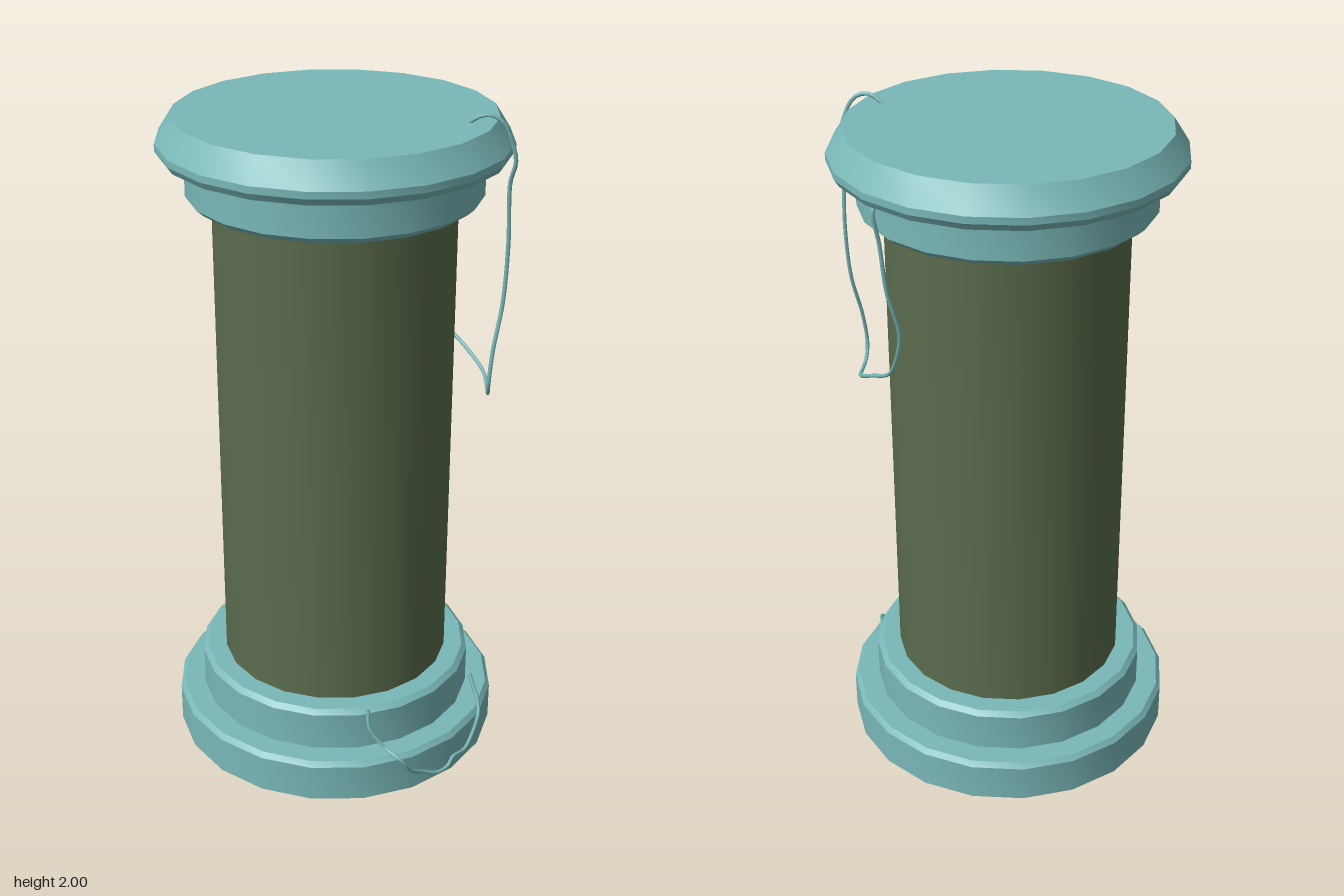
import * as THREE from 'three';
import { toCreasedNormals } from 'three/addons/utils/BufferGeometryUtils.js';

const SIDES = 20;
const CENTRE_Z = -0.007;

export function createModel() {
  const group = new THREE.Group();
  const stone = new THREE.MeshStandardMaterial({ color: 0x7ab8b8 });
  const shaftMaterial = new THREE.MeshStandardMaterial({ color: 0x5a6c4d });

  const add = (name, geometry, material) => {
    const mesh = new THREE.Mesh(geometry, material);
    mesh.name = name;
    group.add(mesh);
    return mesh;
  };

  // Turned solid from [radius, height] pairs, bottom to top
  const turned = (name, profile, material) => {
    const points = profile.map(([r, y]) => new THREE.Vector2(r, y));
    const geometry = toCreasedNormals(new THREE.LatheGeometry(points, SIDES), 0.5);
    add(name, geometry, material).position.z = CENTRE_Z;
  };

  // Thin vine along a smooth path
  const vine = (name, path) => {
    const curve = new THREE.CatmullRomCurve3(path.map((p) => new THREE.Vector3(...p)));
    add(name, new THREE.TubeGeometry(curve, 100, 0.006, 6), stone);
  };

  // Stepped base with softened upper edges
  turned('base', [
    [0, 0], [0.498, 0], [0.498, 0.115], [0.485, 0.13],
    [0.42, 0.13], [0.42, 0.248], [0.405, 0.262], [0, 0.262],
  ], stone);

  // Plain shaft
  turned('shaft', [[0, 0.25], [0.348, 0.25], [0.348, 1.74], [0, 1.74]], shaftMaterial);

  // Capital: collar, overhanging lip and sloped top
  turned('capital', [
    [0, 1.73], [0.4, 1.73], [0.42, 1.748], [0.42, 1.86],
    [0.485, 1.86], [0.498, 1.88], [0.498, 1.9], [0.453, 1.97], [0, 1.97],
  ], stone);

  // Vine looping over the lip, down the shaft and back up under the capital
  vine('upperVine', [
    [0.165, 1.968, 0.33], [0.178, 1.99, 0.36], [0.195, 1.994, 0.385], [0.215, 1.975, 0.41],
    [0.235, 1.925, 0.425], [0.249, 1.865, 0.432], [0.254, 1.8, 0.412], [0.264, 1.62, 0.408],
    [0.252, 1.45, 0.408], [0.217, 1.31, 0.408], [0.205, 1.21, 0.407], [0.225, 1.17, 0.39],
    [0.27, 1.164, 0.35], [0.315, 1.184, 0.295], [0.339, 1.23, 0.2], [0.348, 1.275, 0.11],
    [0.357, 1.35, 0.06], [0.366, 1.44, 0.032], [0.405, 1.58, 0.03], [0.422, 1.72, 0.03],
    [0.438, 1.825, 0.03], [0.42, 1.835, 0.03],
  ]);

  // Vine hanging across the steps of the base
  vine('lowerVine', [
    [-0.22, 0.262, 0.345], [-0.232, 0.21, 0.362], [-0.215, 0.155, 0.405], [-0.2, 0.125, 0.465],
    [-0.17, 0.08, 0.474], [-0.115, 0.044, 0.477], [-0.06, 0.021, 0.493], [-0.02, 0.025, 0.496],
    [0, 0.045, 0.496], [0.06, 0.04, 0.492], [0.1, 0.06, 0.484], [0.145, 0.12, 0.474],
    [0.17, 0.144, 0.45], [0.2, 0.153, 0.41], [0.235, 0.147, 0.37], [0.27, 0.138, 0.335],
  ]);

  return group;
}
